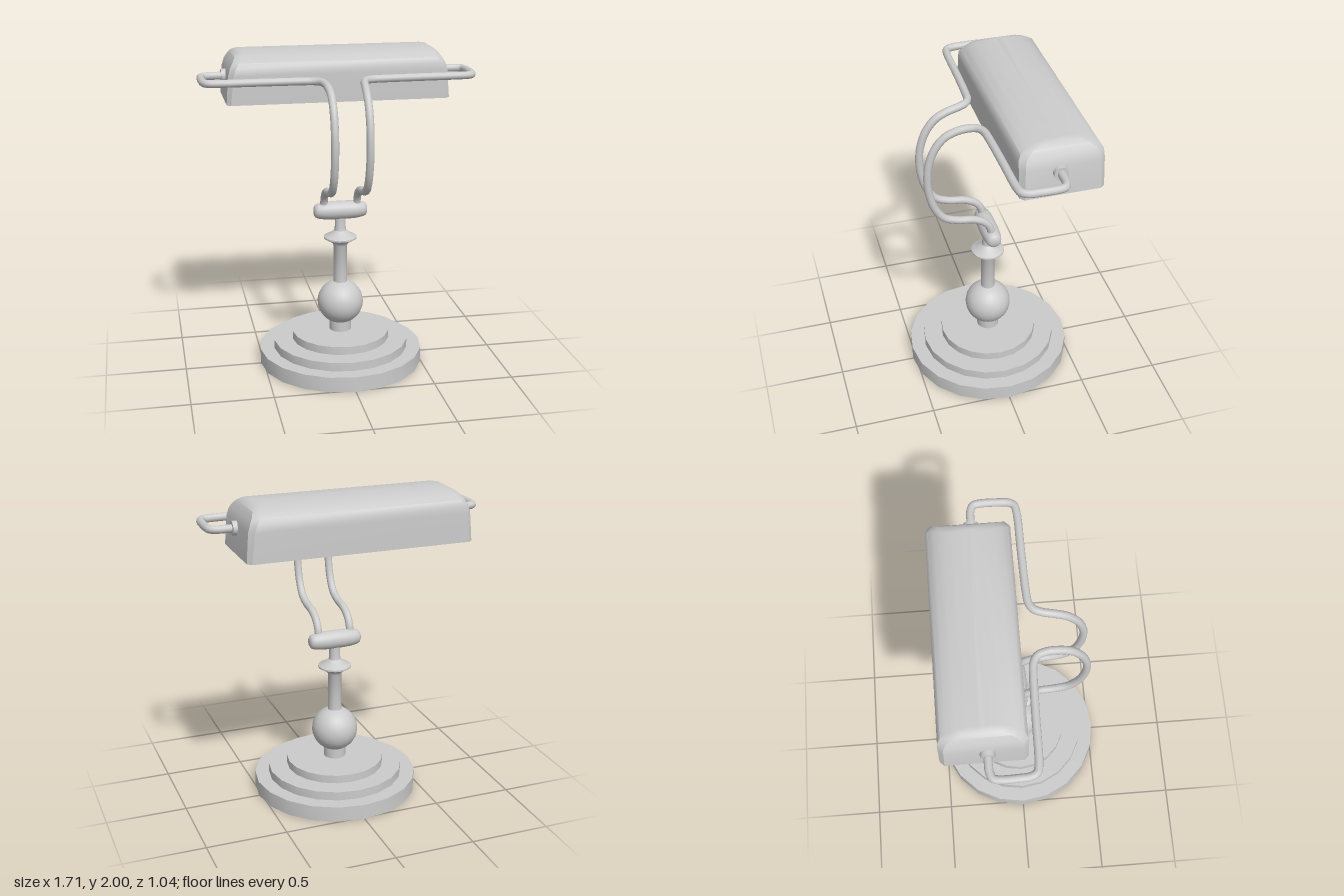
import * as THREE from 'three';
import { toCreasedNormals } from 'three/addons/utils/BufferGeometryUtils.js';

const material = new THREE.MeshStandardMaterial({ color: 0xcccccc, side: THREE.DoubleSide });

function part(name, geometry, crease = 0.6) {
  const mesh = new THREE.Mesh(crease ? toCreasedNormals(geometry, crease) : geometry, material);
  mesh.name = name;
  return mesh;
}

function lathe(points, segments) {
  return new THREE.LatheGeometry(points.map(([r, y]) => new THREE.Vector2(r, y)), segments);
}

// Chamfered rectangular rings [y, half width, half depth, chamfer], skinned in order
function skinRings(rings, cz) {
  const positions = [], index = [], n = 8;
  for (const [y, hx, hz, c] of rings) {
    const outline = [
      [hx, hz - c], [hx - c, hz], [c - hx, hz], [-hx, hz - c],
      [-hx, c - hz], [c - hx, -hz], [hx - c, -hz], [hx, c - hz],
    ];
    for (const [x, z] of outline) positions.push(x, y, z + cz);
  }
  for (let r = 0; r < rings.length - 1; r++) {
    for (let i = 0; i < n; i++) {
      const a = r * n + i, b = r * n + (i + 1) % n;
      index.push(a, a + n, b, b, a + n, b + n);
    }
  }
  // Close both ends
  const last = (rings.length - 1) * n;
  for (let i = 1; i < n - 1; i++) {
    index.push(0, i, i + 1, last, last + i + 1, last + i);
  }
  const g = new THREE.BufferGeometry();
  g.setAttribute('position', new THREE.Float32BufferAttribute(positions, 3));
  g.setIndex(index);
  return g;
}

export function createModel() {
  const lamp = new THREE.Group();
  lamp.name = 'deskLamp';

  // Hollow three-step foot
  lamp.add(part('base', lathe([
    [0.52, 0], [0.52, 0.097], [0.43, 0.097], [0.43, 0.153],
    [0.31, 0.153], [0.31, 0.205], [0.05, 0.205],
  ], 20)));

  // Turned stem with ball and flared collar
  const ball = [];
  for (let i = 0; i <= 14; i++) {
    const t = THREE.MathUtils.lerp(-1.05, 1.27, i / 14);
    ball.push([0.146 * Math.cos(t), 0.395 + 0.143 * Math.sin(t)]);
  }
  lamp.add(part('stem', lathe([
    [0.07, 0.205], [0.07, 0.272], ...ball, [0.043, 0.535], [0.043, 0.775],
    [0.055, 0.795], [0.104, 0.822], [0.104, 0.832], [0.06, 0.855],
    [0.038, 0.875], [0.034, 0.9], [0.034, 0.97],
  ], 24)));

  // Rounded crossbar that carries both arms
  const half = [[0, 0.168], [0.027, 0.167], [0.041, 0.158], [0.048, 0.14], [0.055, 0.1], [0.058, 0.05]];
  const bar = part('crossbar', lathe([
    ...half.map(([r, y]) => [r, -y]), ...half.slice().reverse(),
  ], 24), 0.9);
  bar.rotation.z = Math.PI / 2;
  bar.position.y = 1.005;
  lamp.add(bar);

  // Bent arms and pivot collars, mirrored
  const path = [
    [0.105, 1.03, 0.005], [0.105, 1.08, 0.015], [0.105, 1.13, 0.05], [0.105, 1.165, 0.12],
    [0.105, 1.182, 0.22], [0.105, 1.215, 0.3], [0.105, 1.29, 0.355], [0.105, 1.4, 0.388],
    [0.105, 1.5, 0.397], [0.105, 1.6, 0.388], [0.105, 1.71, 0.35], [0.106, 1.785, 0.29],
    [0.11, 1.82, 0.22], [0.119, 1.835, 0.15], [0.14, 1.84, 0.1], [0.18, 1.84, 0.075],
    [0.25, 1.84, 0.067], [0.5, 1.84, 0.06], [0.76, 1.84, 0.054], [0.805, 1.84, 0.043],
    [0.825, 1.84, 0.01], [0.831, 1.84, -0.06], [0.831, 1.84, -0.16], [0.822, 1.84, -0.195],
    [0.785, 1.84, -0.212], [0.73, 1.84, -0.215], [0.66, 1.84, -0.215],
  ];
  for (const [side, s] of [['left', 1], ['right', -1]]) {
    const curve = new THREE.CatmullRomCurve3(path.map(([x, y, z]) => new THREE.Vector3(s * x, y, z)));
    lamp.add(part(side + 'Arm', new THREE.TubeGeometry(curve, 150, 0.024, 12), 0));
    const collar = part(side + 'Pivot', new THREE.CylinderGeometry(0.042, 0.042, 0.045, 20));
    collar.rotation.z = Math.PI / 2;
    collar.position.set(s * 0.681, 1.84, -0.215);
    lamp.add(collar);
  }

  // Hollow shade: inner skin up from the ceiling to the rim, then outer skin to the crown
  const outer = [
    [1.695, 0.69, 0.245, 0.025], [1.87, 0.676, 0.245, 0.03], [1.915, 0.662, 0.243, 0.032],
    [1.945, 0.645, 0.225, 0.034], [1.97, 0.63, 0.19, 0.034], [1.987, 0.612, 0.14, 0.03],
    [1.996, 0.598, 0.08, 0.025], [2.0, 0.585, 0.02, 0.01],
  ];
  const wall = 0.012;
  const inner = outer.map(([y, hx, hz, c], i) => [
    i ? y - wall : y, hx - wall, Math.max(hz - wall, 0.01), Math.min(c, 0.008 + hz * 0.08),
  ]);
  inner[inner.length - 1][3] = 0.005;
  lamp.add(part('shade', skinRings([...inner.reverse(), ...outer], -0.235), 0.65));

  return lamp;
}
